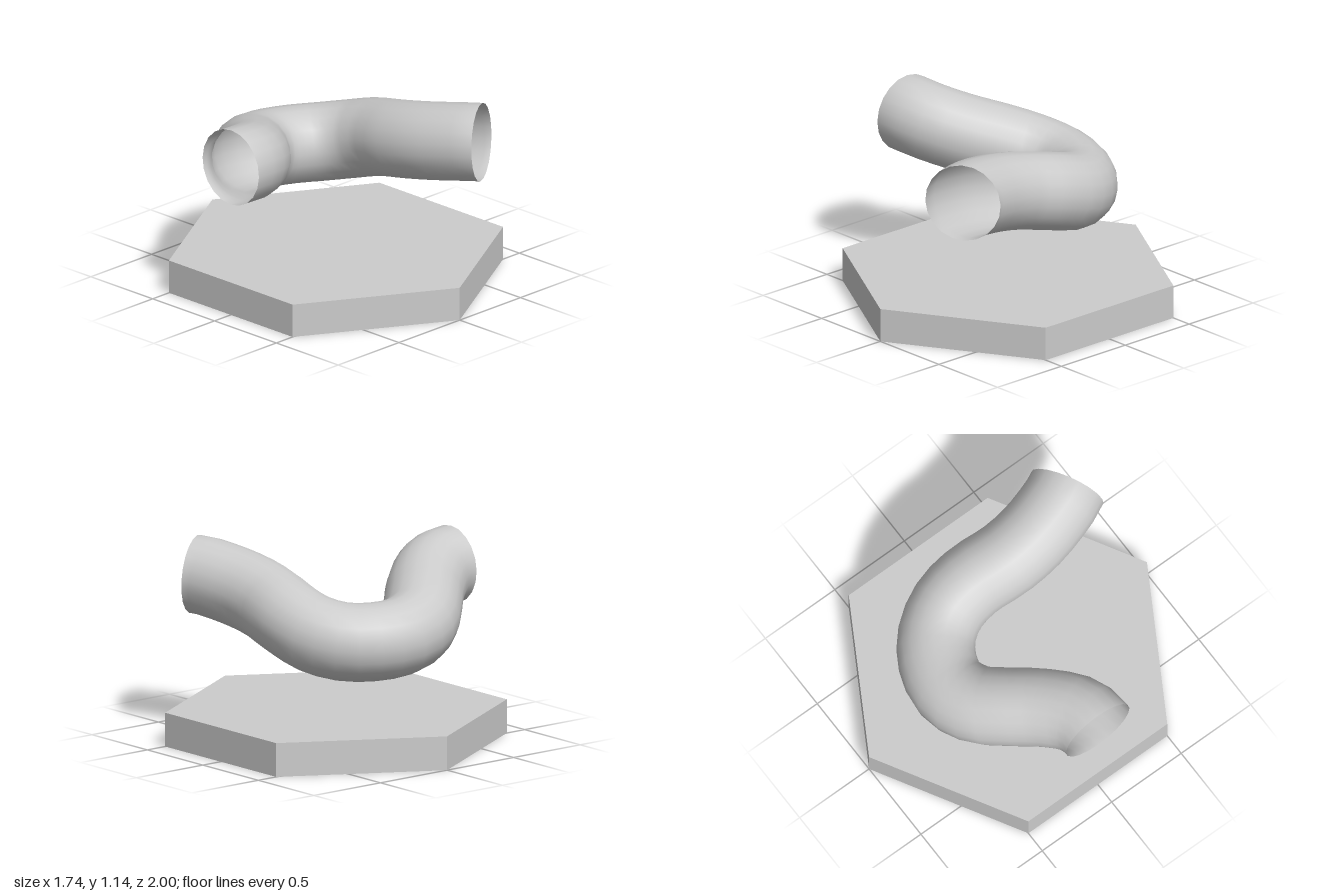
import * as THREE from 'three';

export function createModel() {
  const group = new THREE.Group();
  const material = new THREE.MeshStandardMaterial({ color: 0xcccccc });

  // Hexagonal tile with corners pointing to the front and back
  const tile = new THREE.Mesh(
    new THREE.CylinderGeometry(1, 1, 0.2, 6).toNonIndexed(),
    new THREE.MeshStandardMaterial({ color: 0xcccccc, flatShading: true })
  );
  tile.name = 'hexBase';
  tile.position.y = 0.1;
  group.add(tile);

  // Open pipe dipping between two edges of the tile, square to both edges
  const path = new THREE.CatmullRomCurve3([
    [-0.866, 0.913, 0], [-0.82, 0.912, 0], [-0.7, 0.89, -0.035],
    [-0.54, 0.835, -0.155], [-0.4, 0.78, -0.3], [-0.26, 0.725, -0.425],
    [-0.09, 0.687, -0.48], [0.09, 0.673, -0.44], [0.23, 0.677, -0.34],
    [0.32, 0.71, -0.19], [0.345, 0.765, -0.01], [0.32, 0.825, 0.24],
    [0.336, 0.867, 0.45], [0.41, 0.911, 0.71], [0.433, 0.913, 0.75],
  ].map((p) => new THREE.Vector3(...p)));
  const pipeMaterial = material.clone();
  pipeMaterial.side = THREE.DoubleSide;
  const pipe = new THREE.Mesh(new THREE.TubeGeometry(path, 28, 0.228, 20), pipeMaterial);
  pipe.name = 'curvedPipe';
  group.add(pipe);

  return group;
}
